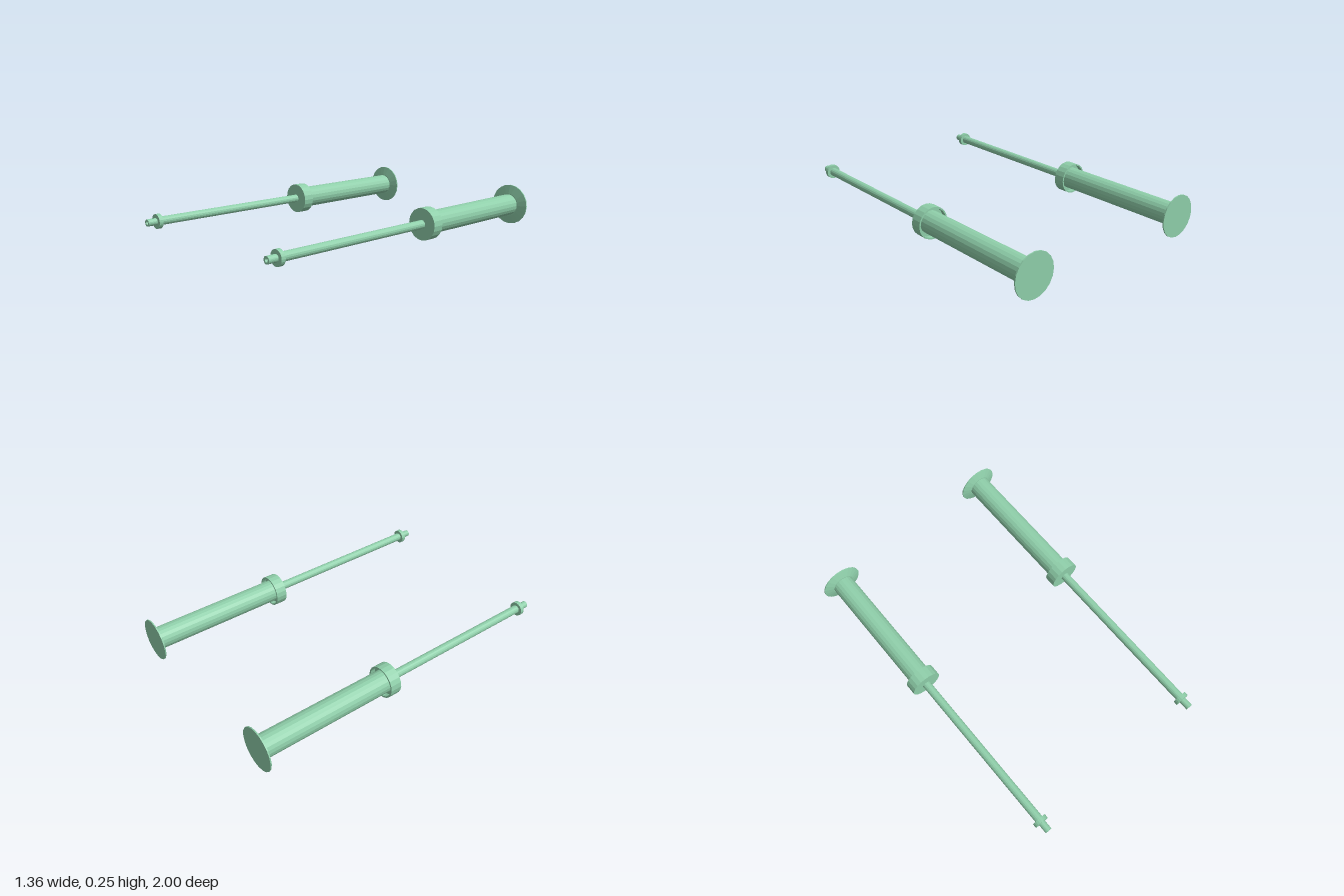
import * as THREE from 'three';

const material = new THREE.MeshStandardMaterial({ color: 0x8fcfaa, flatShading: true });

// Turned part: [radius, z] profile running back to front, spun round the z axis
function turned(name, profile, sides = 20) {
  const points = profile.map(([r, z]) => new THREE.Vector2(r, z));
  const geometry = new THREE.LatheGeometry(points, sides);
  geometry.rotateX(Math.PI / 2);
  const mesh = new THREE.Mesh(geometry, material);
  mesh.name = name;
  return mesh;
}

// Tip with a hexagonal socket in its front end
function socketTip() {
  const shape = new THREE.Shape().absarc(0, 0, 0.021, 0, Math.PI * 2);
  const hexagon = [];
  for (let i = 0; i < 6; i++) {
    const a = -i * Math.PI / 3;
    hexagon.push(new THREE.Vector2(0.012 * Math.cos(a), 0.012 * Math.sin(a)));
  }
  shape.holes.push(new THREE.Path(hexagon));
  const geometry = new THREE.ExtrudeGeometry(shape, { depth: 0.062, bevelEnabled: false, curveSegments: 10 });
  geometry.translate(0, 0, 0.938);
  const mesh = new THREE.Mesh(geometry, material);
  mesh.name = 'tip';
  return mesh;
}

function createPlunger(name) {
  const plunger = new THREE.Group();
  plunger.name = name;
  plunger.add(
    // Thin end plate, sloping up to the barrel
    turned('endPlate', [[0, -1], [0.127, -1], [0.127, -0.993], [0.072, -0.977], [0, -0.977]]),
    turned('barrel', [[0, -0.98], [0.067, -0.98], [0.067, -0.14], [0, -0.14]]),
    // Cap over the barrel, with a shallow recess at the back
    turned('collar', [[0, -0.16], [0.086, -0.16], [0.086, -0.19], [0.095, -0.19], [0.095, -0.12], [0, -0.12]]),
    turned('rod', [[0, -0.13], [0.0255, -0.13], [0.0255, 0.925], [0, 0.925]], 16),
    turned('stopRing', [[0, 0.917], [0.044, 0.917], [0.044, 0.942], [0, 0.942]]),
    socketTip()
  );
  return plunger;
}

export function createModel() {
  const model = new THREE.Group();
  model.name = 'plungerPair';
  for (const [name, x] of [['leftPlunger', 0.5505], ['rightPlunger', -0.5595]]) {
    const plunger = createPlunger(name);
    plunger.position.set(x, 0.13, 0);
    plunger.rotation.y = -0.0045; // both lean slightly to one side
    model.add(plunger);
  }
  return model;
}
